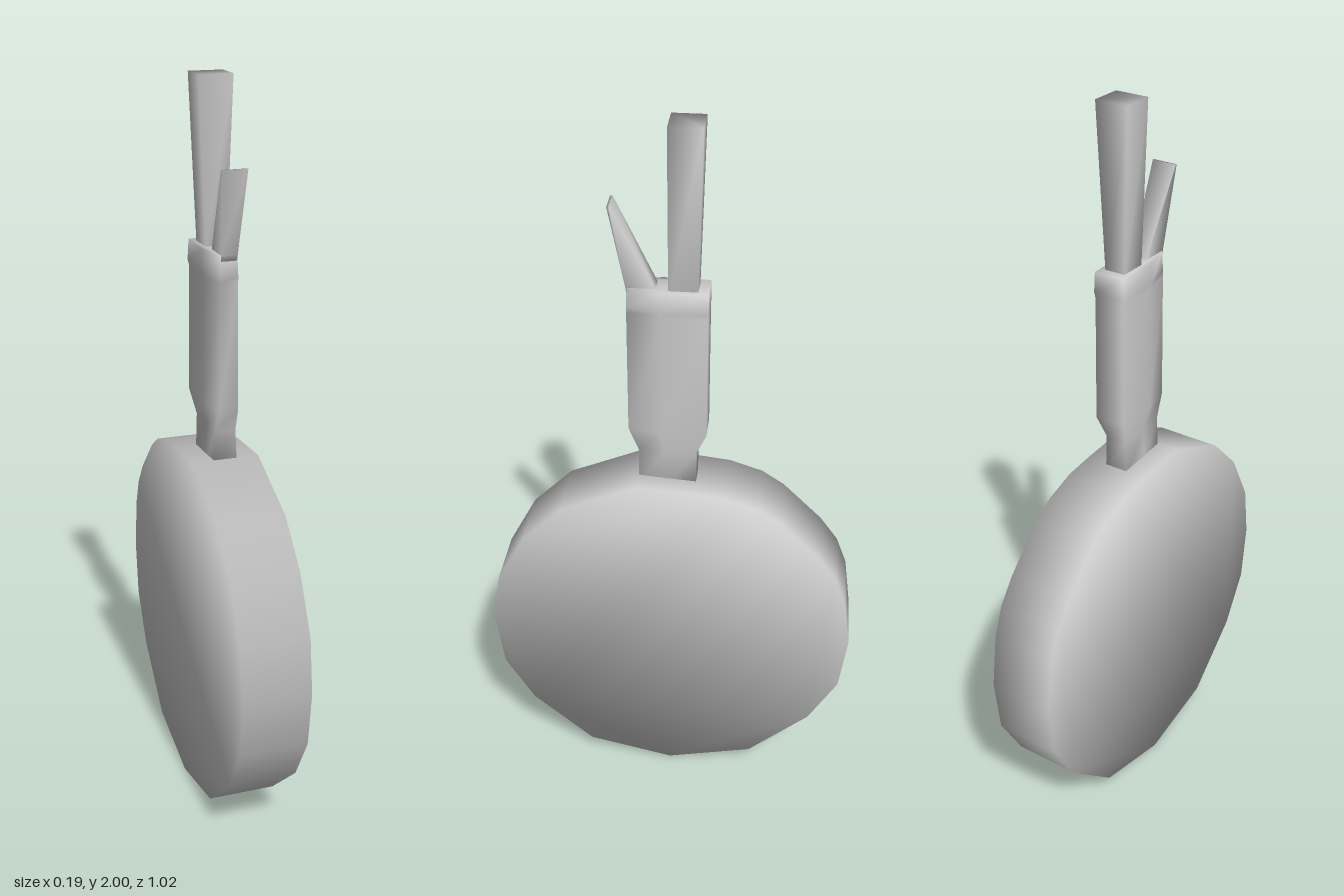
import * as THREE from 'three';

const grey = new THREE.MeshStandardMaterial({ color: 0xcccccc });
grey.name = 'plain grey';

// Closed solid through rings of equal count; each ring is { y, pts: [[x, z], ...] },
// counter-clockwise seen from above, with vertices shared for soft shading.
function loft(name, rings) {
  const n = rings[0].pts.length;
  const positions = [];
  const index = [];
  rings.forEach(({ y, pts }) => pts.forEach(([x, z]) => positions.push(x, y, z)));
  for (let r = 0; r < rings.length - 1; r++) {
    for (let i = 0; i < n; i++) {
      const a = r * n + i;
      const b = r * n + (i + 1) % n;
      index.push(a, b, b + n, a, b + n, a + n);
    }
  }
  const top = (rings.length - 1) * n;
  for (let i = 1; i < n - 1; i++) {
    index.push(0, i + 1, i);
    index.push(top, top + i, top + i + 1);
  }
  const geometry = new THREE.BufferGeometry();
  geometry.setAttribute('position', new THREE.Float32BufferAttribute(positions, 3));
  geometry.setIndex(index);
  geometry.computeVertexNormals();
  const mesh = new THREE.Mesh(geometry, grey);
  mesh.name = name;
  return mesh;
}

// Four-sided ring: half width, front z, back z
const rect = (y, w, front, back) => ({
  y, pts: [[-w, front], [w, front], [w, back], [-w, back]],
});

// Six-sided ring with a narrower front: front half width, middle, back
const hex = (y, wf, wm, wb, front, mid, back) => ({
  y, pts: [[-wf, front], [wf, front], [wm, mid], [wb, back], [-wb, back], [-wm, mid]],
});

// Flat disc with soft shading bending from its faces round to its rim
function makeDisc() {
  const outline = [ // [z, y]
    [0.09, 1.01], [0.3, 0.92], [0.41, 0.81], [0.49, 0.66], [0.51, 0.51],
    [0.49, 0.35], [0.41, 0.21], [0.24, 0.055], [0, 0], [-0.24, 0.055],
    [-0.41, 0.21], [-0.49, 0.35], [-0.51, 0.51], [-0.49, 0.66], [-0.46, 0.74],
    [-0.41, 0.81], [-0.3, 0.92], [-0.24, 0.96], [-0.15, 0.99], [-0.06, 1.0],
  ];
  const half = 0.093;
  const shape = new THREE.Shape(outline.map(([z, y]) => new THREE.Vector2(-z, y)));
  const geometry = new THREE.ExtrudeGeometry(shape, { depth: 2 * half, bevelEnabled: false });
  geometry.translate(0, 0, -half);
  geometry.rotateY(Math.PI / 2);
  const p = geometry.attributes.position;
  const normal = new THREE.Vector3();
  for (let i = 0; i < p.count; i++) {
    normal.set(0, p.getY(i) - 0.51, p.getZ(i)).normalize();
    normal.x = Math.sign(p.getX(i));
    normal.normalize();
    geometry.attributes.normal.setXYZ(i, normal.x, normal.y, normal.z);
  }
  const mesh = new THREE.Mesh(geometry, grey);
  mesh.name = 'disc';
  return mesh;
}

export function createModel() {
  const group = new THREE.Group();
  group.name = 'discWithHandle';

  group.add(makeDisc());

  // Neck flaring into the grip, with a collar at the top
  group.add(loft('grip', [
    hex(0.98, 0.033, 0.034, 0.033, 0.09, 0.02, -0.065),
    hex(1.09, 0.028, 0.03, 0.03, 0.09, 0.02, -0.065),
    hex(1.155, 0.026, 0.045, 0.043, 0.117, 0.03, -0.092),
    hex(1.5, 0.024, 0.041, 0.041, 0.117, 0.03, -0.092),
    hex(1.515, 0.024, 0.047, 0.045, 0.117, 0.03, -0.092),
    hex(1.57, 0.022, 0.045, 0.042, 0.115, 0.03, -0.092),
  ]));

  // Tall post widening upwards
  group.add(loft('post', [
    rect(1.55, 0.028, 0.01, -0.065),
    rect(2, 0.046, 0.01, -0.076),
  ]));

  // Slanted prong in front of the post
  group.add(loft('prong', [
    rect(1.55, 0.021, 0.115, 0.035),
    rect(1.57, 0.022, 0.118, 0.042),
    rect(1.79, 0.034, 0.158, 0.152),
  ]));

  return group;
}
